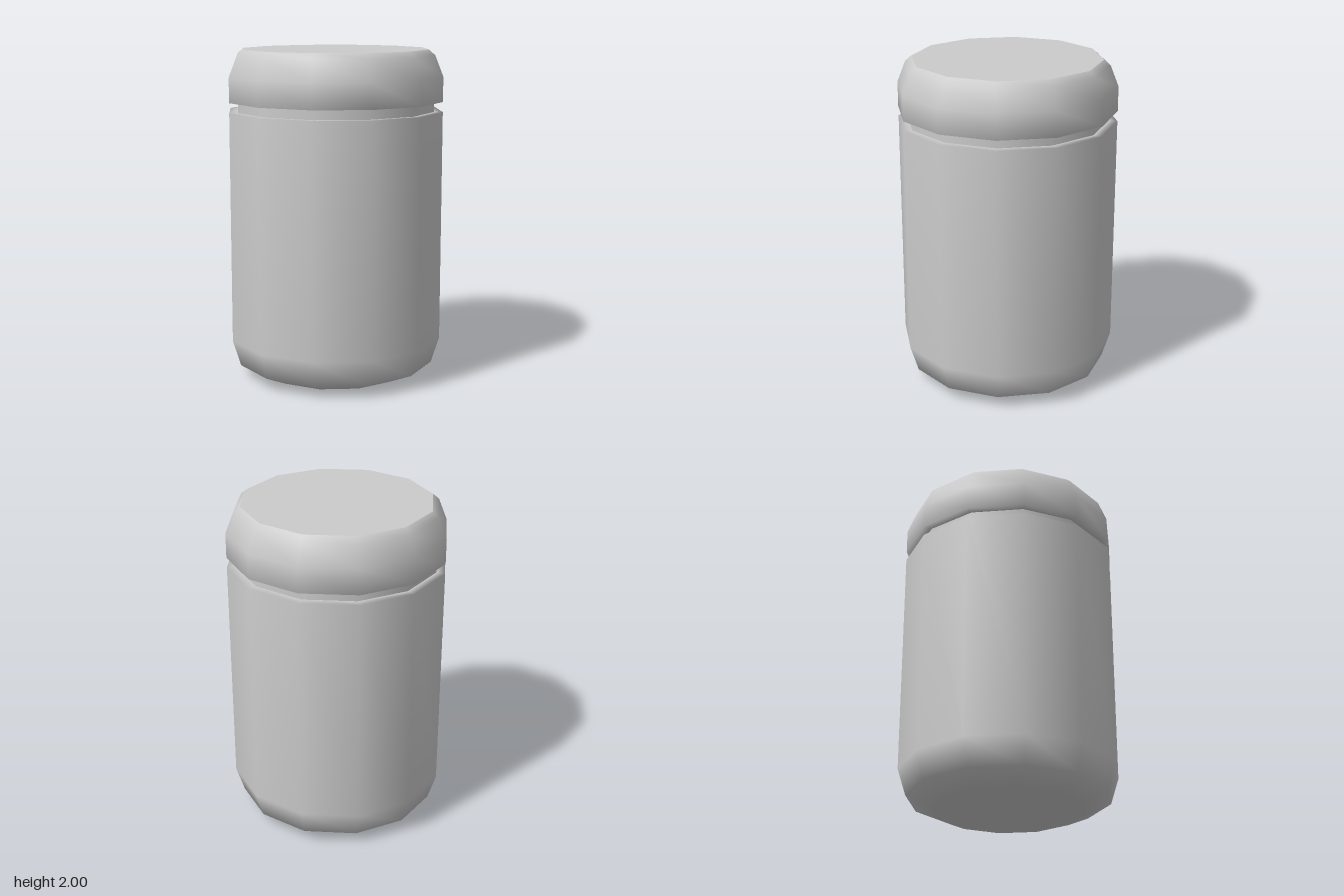
import * as THREE from 'three';

const SIDES = 12;

export function createModel() {
  const group = new THREE.Group();
  const material = new THREE.MeshStandardMaterial({ color: 0xcccccc });

  const add = (name, geometry) => {
    const mesh = new THREE.Mesh(geometry, material);
    mesh.name = name;
    group.add(mesh);
    return mesh;
  };
  // Twelve-sided turned part; profile runs from bottom to top as [radius, height]
  const turned = (name, profile) =>
    add(name, new THREE.LatheGeometry(profile.map(([r, y]) => new THREE.Vector2(r, y)), SIDES));

  // Jar body with a rounded foot and a flat shoulder
  turned('jarBody', [
    [0, 0], [0.45, 0.005], [0.608, 0.075], [0.658, 0.235], [0.658, 1.63], [0.605, 1.63],
  ]);

  // Recessed neck between body and lid
  turned('neck', [[0.605, 1.63], [0.605, 1.69]]);

  // Lid with underside rim and rounded shoulder
  turned('lid', [
    [0.605, 1.69], [0.658, 1.69], [0.658, 1.84], [0.608, 1.967], [0.57, 2],
  ]);

  // Flat, crisp-edged top of the lid
  const top = add('lidTop', new THREE.CircleGeometry(0.57, SIDES));
  top.rotation.x = -Math.PI / 2;
  top.position.y = 2;

  return group;
}
